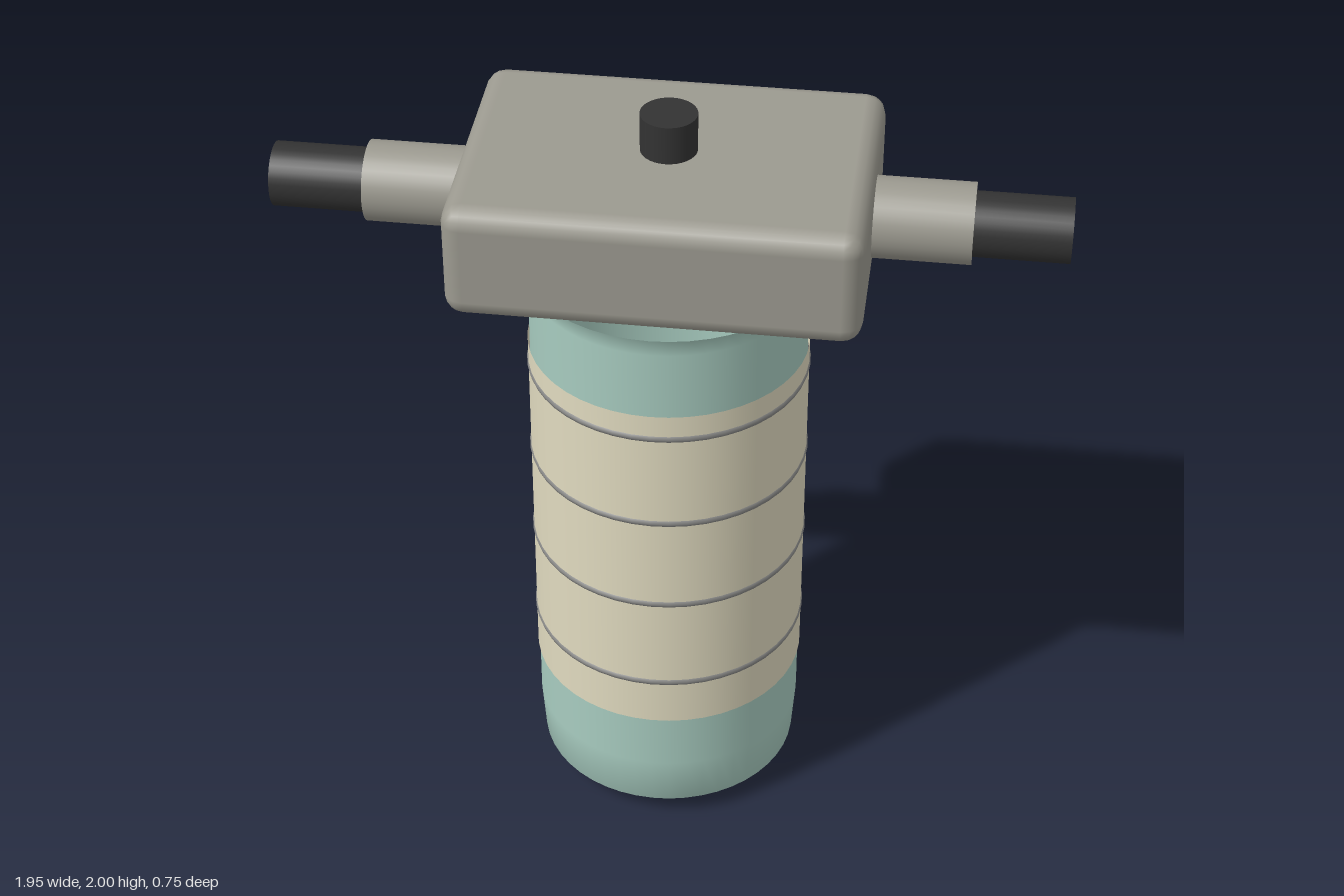
import * as THREE from 'three';
import { RoundedBoxGeometry } from 'three/addons/geometries/RoundedBoxGeometry.js';

const material = (name, color, side = THREE.FrontSide) =>
  new THREE.MeshStandardMaterial({ name, color, side });

export function createModel() {
  const model = new THREE.Group();
  const teal = material('pale teal', 0xa8ccc0, THREE.DoubleSide);
  const cream = material('cream', 0xe0dabf, THREE.DoubleSide);
  const grey = material('warm grey', 0x9c9a90);
  const ringGrey = material('ring grey', 0x8a8a88);
  const black = material('charcoal', 0x333333);

  const add = (name, geometry, mat, x = 0, y = 0, z = 0) => {
    const mesh = new THREE.Mesh(geometry, mat);
    mesh.name = name;
    mesh.position.set(x, y, z);
    model.add(mesh);
    return mesh;
  };

  // Canister: chamfered base, straight wall and flared lip
  const profile = [
    [0, 0], [0.28, 0], [0.34, 0.06], [0.35, 0.2], [0.35, 1.54], [0.375, 1.6],
  ].map(([r, y]) => new THREE.Vector2(r, y));
  add('canister', new THREE.LatheGeometry(profile, 48), teal);

  // Sleeve around the canister with four raised rings
  add('sleeve', new THREE.CylinderGeometry(0.355, 0.355, 1, 48, 1, true), cream, 0, 0.86);
  for (const y of [0.495, 0.762, 1.027, 1.292]) {
    const ring = add('sleeveRing', new THREE.TorusGeometry(0.344, 0.014, 10, 48), ringGrey, 0, y);
    ring.rotation.x = Math.PI / 2;
  }

  // Head block and the knob on top
  add('head', new RoundedBoxGeometry(1, 0.3, 0.7, 2, 0.05), grey, 0, 1.75);
  add('topKnob', new THREE.CylinderGeometry(0.07, 0.07, 0.12, 32), black, 0, 1.94);

  // Mirrored side ports with dark end pipes
  for (const s of [1, -1]) {
    const side = s > 0 ? 'left' : 'right';
    const port = add(side + 'Port', new THREE.CylinderGeometry(0.1, 0.1, 0.26, 32), grey, s * 0.61, 1.75);
    const pipe = add(side + 'Pipe', new THREE.CylinderGeometry(0.08, 0.08, 0.255, 32), black, s * 0.8475, 1.75);
    port.rotation.z = pipe.rotation.z = -s * Math.PI / 2;
  }
  return model;
}
